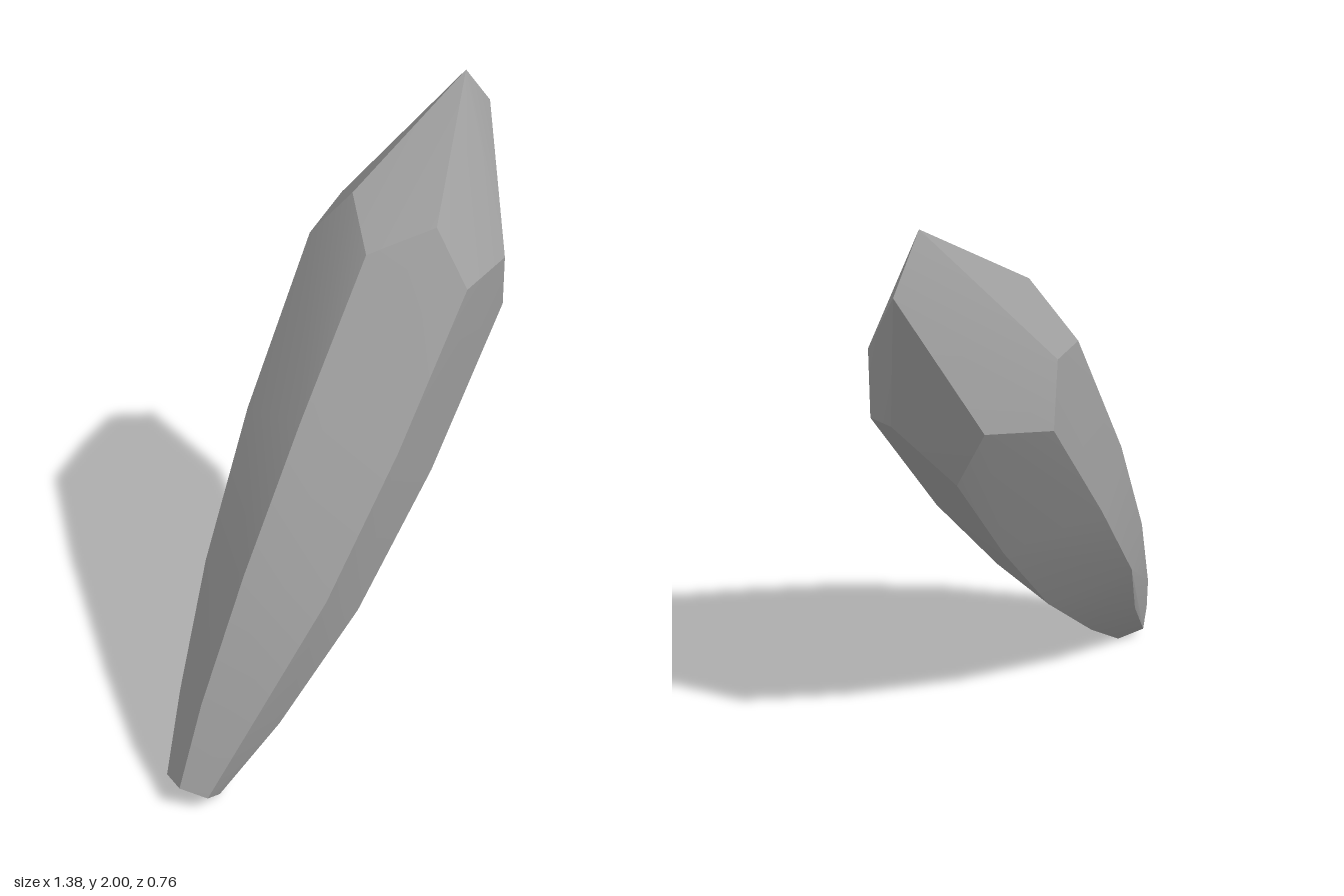
import * as THREE from 'three';
import { ConvexGeometry } from 'three/addons/geometries/ConvexGeometry.js';
import { toCreasedNormals } from 'three/addons/utils/BufferGeometryUtils.js';

// Six long edges of the shaft, each running from the narrow foot to the shoulder
const shaftEdges = [
  [[-0.62, 0.07, 0.36], [-0.45, 0.36, 0.382], [-0.21, 0.7, 0.375], [0.06, 1.11, 0.32], [0.34, 1.53, 0.225]],
  [[-0.56, 0.02, 0.32], [-0.34, 0.21, 0.31], [-0.04, 0.52, 0.275], [0.26, 0.9, 0.2], [0.56, 1.35, 0.1]],
  [[-0.56, 0, 0.23], [-0.33, 0.2, 0.127], [-0.03, 0.5, 0.01], [0.255, 0.87, -0.11], [0.5, 1.24, -0.206]],
  [[-0.63, 0.04, 0.175], [-0.44, 0.29, 0.03], [-0.25, 0.61, -0.14], [0.01, 0.99, -0.27], [0.3, 1.41, -0.38]],
  [[-0.69, 0.085, 0.22], [-0.58, 0.3, 0.11], [-0.41, 0.66, -0.02], [-0.19, 1.08, -0.14], [0.085, 1.56, -0.24]],
  [[-0.69, 0.105, 0.31], [-0.59, 0.39, 0.285], [-0.41, 0.79, 0.24], [-0.18, 1.21, 0.17], [0.1, 1.63, 0.06]],
];

// Corners where neighbouring tip facets meet, one between each pair of edges
const shoulder = [
  [0.527, 1.54, 0.14], [0.625, 1.42, -0.085], [0.5, 1.45, -0.33],
  [0.26, 1.6, -0.35], [0.16, 1.73, -0.12], [0.29, 1.7, 0.13],
];

// Short ridge that closes the tip
const tipRidge = [[0.57, 2, -0.17], [0.69, 1.86, -0.21]];

export function createModel() {
  const group = new THREE.Group();
  group.name = 'crystal';
  const stone = new THREE.MeshStandardMaterial({ color: 0xa0a0a0 });
  stone.name = 'grey stone';

  // The faceted shard is convex, so its edges and tip define the whole skin
  const points = [...shaftEdges.flat(), ...shoulder, ...tipRidge].map((p) => new THREE.Vector3(...p));
  const shard = new THREE.Mesh(toCreasedNormals(new ConvexGeometry(points), 0.4), stone);
  shard.name = 'crystalShard';
  group.add(shard);
  return group;
}
